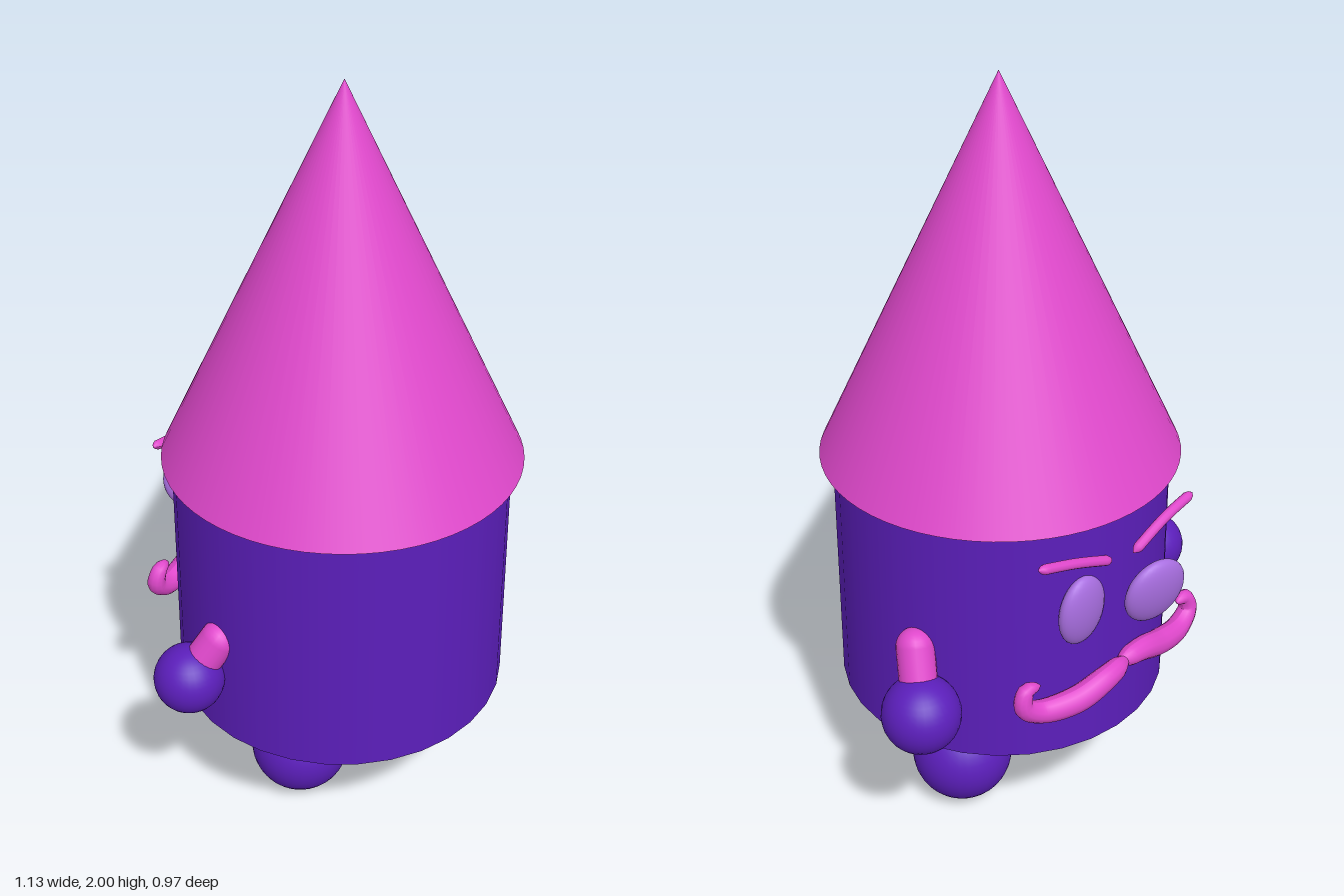
import * as THREE from 'three';

const material = (color) => new THREE.MeshStandardMaterial({ color });

export function createModel() {
  const model = new THREE.Group();
  const purple = material(0x5b1eba);
  const pink = material(0xe048cc);
  const lilac = material(0xa86ee0);

  const add = (name, geometry, mat, x = 0, y = 0, z = 0) => {
    const mesh = new THREE.Mesh(geometry, mat);
    mesh.name = name;
    mesh.position.set(x, y, z);
    model.add(mesh);
    return mesh;
  };

  // Tube through points whose radius follows a rule along its length, with closed ends
  const taperedTube = (points, radiusAt, segments = 40, sides = 12) => {
    const curve = new THREE.CatmullRomCurve3(points.map((p) => new THREE.Vector3(...p)));
    const geometry = new THREE.TubeGeometry(curve, segments, 1, sides);
    const pos = geometry.attributes.position;
    const v = new THREE.Vector3();
    for (let i = 0; i < pos.count; i++) {
      const t = Math.floor(i / (sides + 1)) / segments;
      const c = curve.getPointAt(t);
      v.fromBufferAttribute(pos, i).sub(c).multiplyScalar(radiusAt(t)).add(c);
      pos.setXYZ(i, v.x, v.y, v.z);
    }
    geometry.computeVertexNormals();
    return geometry;
  };
  const roundEnds = (t, k) => Math.sqrt(Math.max(0, Math.min(1, t * k, (1 - t) * k)));

  // Hat and body
  add('hat', new THREE.ConeGeometry(0.457, 0.96, 64), pink, 0.013, 1.52, 0.028);
  add('body', new THREE.CylinderGeometry(0.428, 0.435, 0.665, 32), purple, 0.006, 0.7075, 0.031);

  // Legs and feet
  const legs = [
    { side: 'left', x: 0.178, top: 0.356, r: 0.092, z: 0.03, footY: 0.138, footR: 0.136 },
    { side: 'right', x: -0.142, top: 0.376, r: 0.1, z: 0.008, footY: 0.148, footR: 0.134 },
  ];
  for (const l of legs) {
    const height = l.top - l.footY;
    add(l.side + 'Leg', new THREE.CylinderGeometry(l.r, l.r, height, 32), pink, l.x, l.footY + height / 2, l.z);
    add(l.side + 'Foot', new THREE.SphereGeometry(l.footR, 32, 20), purple, l.x, l.footY, 0.009);
  }

  // Arms and hands
  const arms = [
    { side: 'left', shoulder: [0.425, 0.685, -0.108], hand: [0.465, 0.535, -0.172], r: 0.1 },
    { side: 'right', shoulder: [-0.415, 0.665, -0.02], hand: [-0.477, 0.555, -0.068], r: 0.09 },
  ];
  for (const a of arms) {
    const from = new THREE.Vector3(...a.shoulder);
    const to = new THREE.Vector3(...a.hand);
    const arm = add(a.side + 'Arm', new THREE.CapsuleGeometry(0.048, from.distanceTo(to), 8, 20), pink);
    arm.position.copy(from).lerp(to, 0.5);
    arm.quaternion.setFromUnitVectors(new THREE.Vector3(0, 1, 0), from.clone().sub(to).normalize());
    add(a.side + 'Hand', new THREE.SphereGeometry(a.r, 32, 20), purple, ...a.hand);
  }

  // Eyes, on the -z side
  const eye = (name, size, position, rotation) => {
    const mesh = add(name, new THREE.SphereGeometry(1, 28, 20), lilac, ...position);
    mesh.scale.set(...size);
    mesh.rotation.set(...rotation);
  };
  eye('rightEye', [0.088, 0.092, 0.032], [-0.055, 0.798, -0.453], [-0.14, -0.17, 0]);
  eye('leftEye', [0.072, 0.098, 0.032], [0.125, 0.79, -0.38], [-0.05, 0, 0]);

  // Eyebrows
  const brow = (t) => 0.013 * roundEnds(t, 12);
  add('leftEyebrow', taperedTube([[0.285, 0.985, -0.392], [0.17, 0.955, -0.4], [0.05, 0.912, -0.405]], brow, 24, 10), pink);
  add('rightEyebrow', taperedTube([[-0.23, 0.985, -0.408], [-0.12, 0.965, -0.418], [-0.005, 0.915, -0.422]], brow, 24, 10), pink);

  // Moustache: two halves drooping from the middle and curling up at the tips
  const whisker = (t) => (0.022 + 0.012 * Math.sin(Math.PI * Math.min(1, t * 1.15))) * roundEnds(t, 9);
  for (const [side, s, bulge] of [['left', 1, 0.02], ['right', -1, 0]]) {
    const cx = 0.015;
    add(side + 'Moustache', taperedTube([
      [cx - s * 0.02, 0.6, -0.42],
      [cx + s * 0.07, 0.595, -0.415 - bulge],
      [cx + s * 0.16, 0.565, -0.4 - bulge],
      [cx + s * 0.25, 0.557, -0.385],
      [cx + s * 0.297, 0.59, -0.375],
      [cx + s * 0.285, 0.63, -0.372],
      [cx + s * 0.245, 0.632, -0.38],
    ], whisker), pink);
  }

  return model;
}
